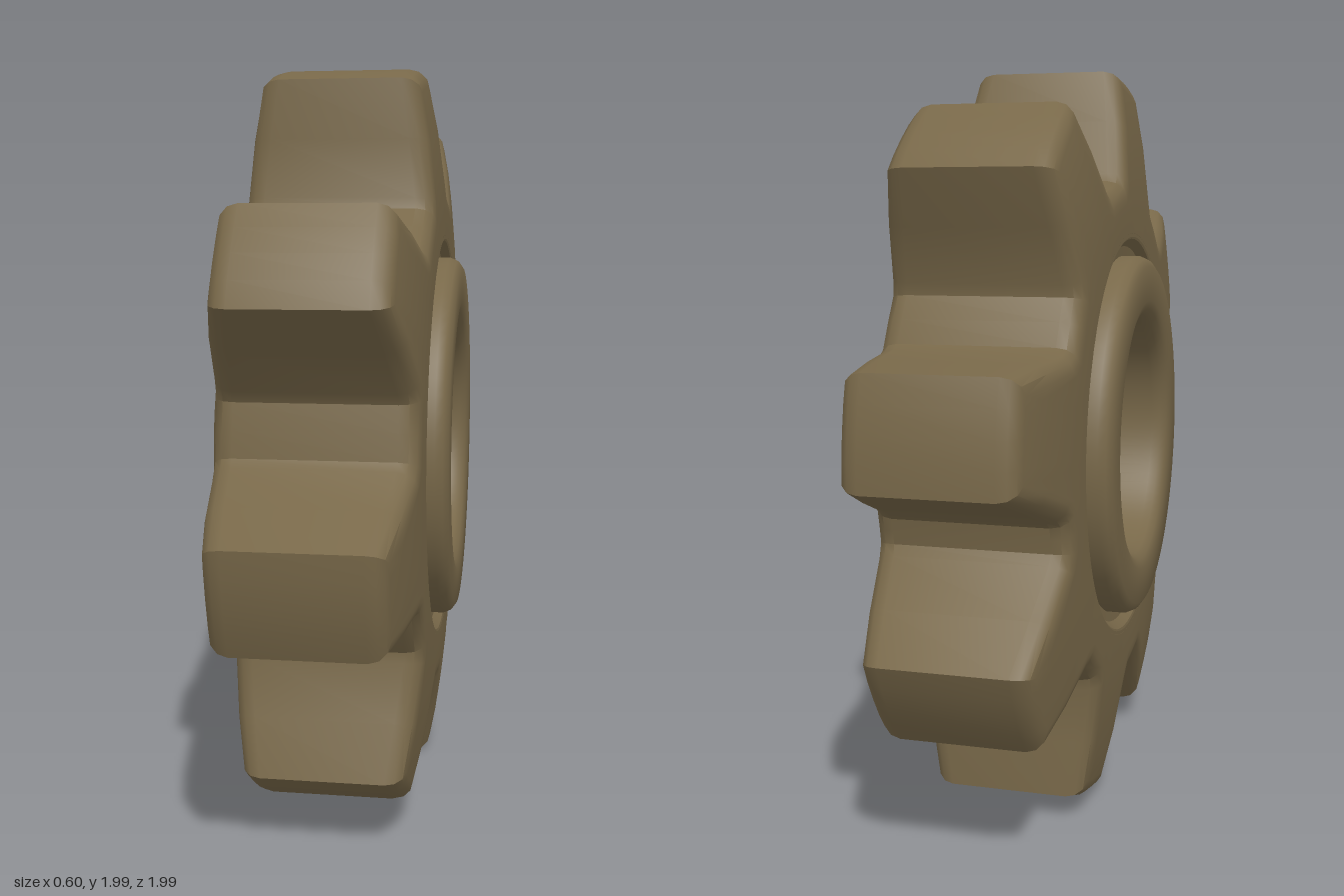
import * as THREE from 'three';
import { toCreasedNormals } from 'three/addons/utils/BufferGeometryUtils.js';

const RAD = Math.PI / 180;
const CREASE = 0.62;
const GROOVE_R = 0.55;

// Slightly uneven angular positions of the eight teeth, in degrees
const TOOTH_ANGLES = [-166, -120.4, -75.3, -32.4, 7.9, 53.4, 99.7, 148.4];

// One tooth: [degrees from its centre line, radius], up one flank and down the other
const FLANK = [[-17.4, 0.705], [-15.7, 0.725], [-11.2, 0.86], [-7.7, 0.998], [-3.8, 1]];
const TOOTH = [...FLANK, [0, 1], ...FLANK.map(([a, r]) => [-a, r]).reverse()];

// Half thickness of the wheel: flat near the hub, thinning towards the tips
function halfThickness(r) {
  const t = Math.max(0, (r - GROOVE_R) / 0.4);
  return 0.25 - 0.042 * t * t;
}

function gearOutline() {
  const points = [];
  TOOTH_ANGLES.forEach((centre, k) => {
    for (const [a, r] of TOOTH) {
      points.push(new THREE.Vector2(Math.cos((centre + a) * RAD), Math.sin((centre + a) * RAD)).multiplyScalar(r));
    }
    // middle of the valley before the next tooth
    const next = k < 7 ? TOOTH_ANGLES[k + 1] : TOOTH_ANGLES[0] + 360;
    const mid = (centre + next) / 2 * RAD;
    points.push(new THREE.Vector2(Math.cos(mid), Math.sin(mid)).multiplyScalar(0.703));
  });
  return points;
}

// Shrink a counter-clockwise outline by a fixed distance
function inset(points, d) {
  const n = points.length;
  const normal = (a, b) => new THREE.Vector2(a.y - b.y, b.x - a.x).normalize();
  return points.map((p, i) => {
    const n1 = normal(points[(i + n - 1) % n], p);
    const n2 = normal(p, points[(i + 1) % n]);
    const k = d / (1 + n1.dot(n2));
    return p.clone().addScaledVector(n1.add(n2), k);
  });
}

// Toothed wheel: rows run from the hub over the rounded rim to the other side
function wheelGeometry() {
  const outline = gearOutline();
  const n = outline.length;
  const rows = [];

  // side face, fanning out from the hub groove
  const faceEdge = inset(outline, 0.045);
  for (let j = 0; j < 5; j++) {
    rows.push(faceEdge.map((p) => {
      const r = p.length();
      const q = p.clone().multiplyScalar(THREE.MathUtils.lerp(GROOVE_R, r, j / 5) / r);
      return [halfThickness(q.length()), q.x, q.y];
    }));
  }
  // rounded bevel
  for (const deg of [0, 30, 60, 90]) {
    const edge = inset(outline, 0.045 * (1 - Math.sin(deg * RAD)));
    const depth = 0.05 * (1 - Math.cos(deg * RAD));
    rows.push(edge.map((p, i) => [halfThickness(faceEdge[i].length()) - depth, p.x, p.y]));
  }
  const all = [...rows, ...rows.slice().reverse().map((row) => row.map(([x, u, v]) => [-x, u, v]))];

  const positions = [];
  const index = [];
  all.forEach((row, j) => row.forEach(([x, u, v], i) => {
    positions.push(x, v, -u);
    if (j + 1 < all.length) {
      const a = j * n + i;
      const b = a + n;
      const c = j * n + (i + 1) % n;
      const d = c + n;
      index.push(a, b, c, b, d, c);
    }
  }));
  const geometry = new THREE.BufferGeometry();
  geometry.setAttribute('position', new THREE.Float32BufferAttribute(positions, 3));
  geometry.setIndex(index);
  return toCreasedNormals(geometry, CREASE);
}

// Hub: groove, raised collar with bevelled rims, and the bore
function hubGeometry() {
  const half = [
    [0.56, 0.25], [0.545, 0.247], [0.525, 0.225], [0.498, 0.222], [0.498, 0.265], [0.489, 0.285],
    [0.47, 0.298], [0.375, 0.298], [0.352, 0.29], [0.336, 0.273], [0.329, 0.25],
  ];
  const profile = [...half, ...half.map(([r, y]) => [r, -y]).reverse()];
  const lathe = new THREE.LatheGeometry(profile.map(([r, y]) => new THREE.Vector2(r, y)), 72);
  lathe.rotateZ(Math.PI / 2);
  return toCreasedNormals(lathe, CREASE);
}

export function createModel() {
  const bronze = new THREE.MeshStandardMaterial({ color: 0x786849 });
  bronze.name = 'dull bronze';

  const group = new THREE.Group();
  group.name = 'gear';
  const parts = { toothedWheel: wheelGeometry(), hub: hubGeometry() };
  for (const [name, geometry] of Object.entries(parts)) {
    const mesh = new THREE.Mesh(geometry, bronze);
    mesh.name = name;
    mesh.position.y = 1;
    group.add(mesh);
  }
  return group;
}
